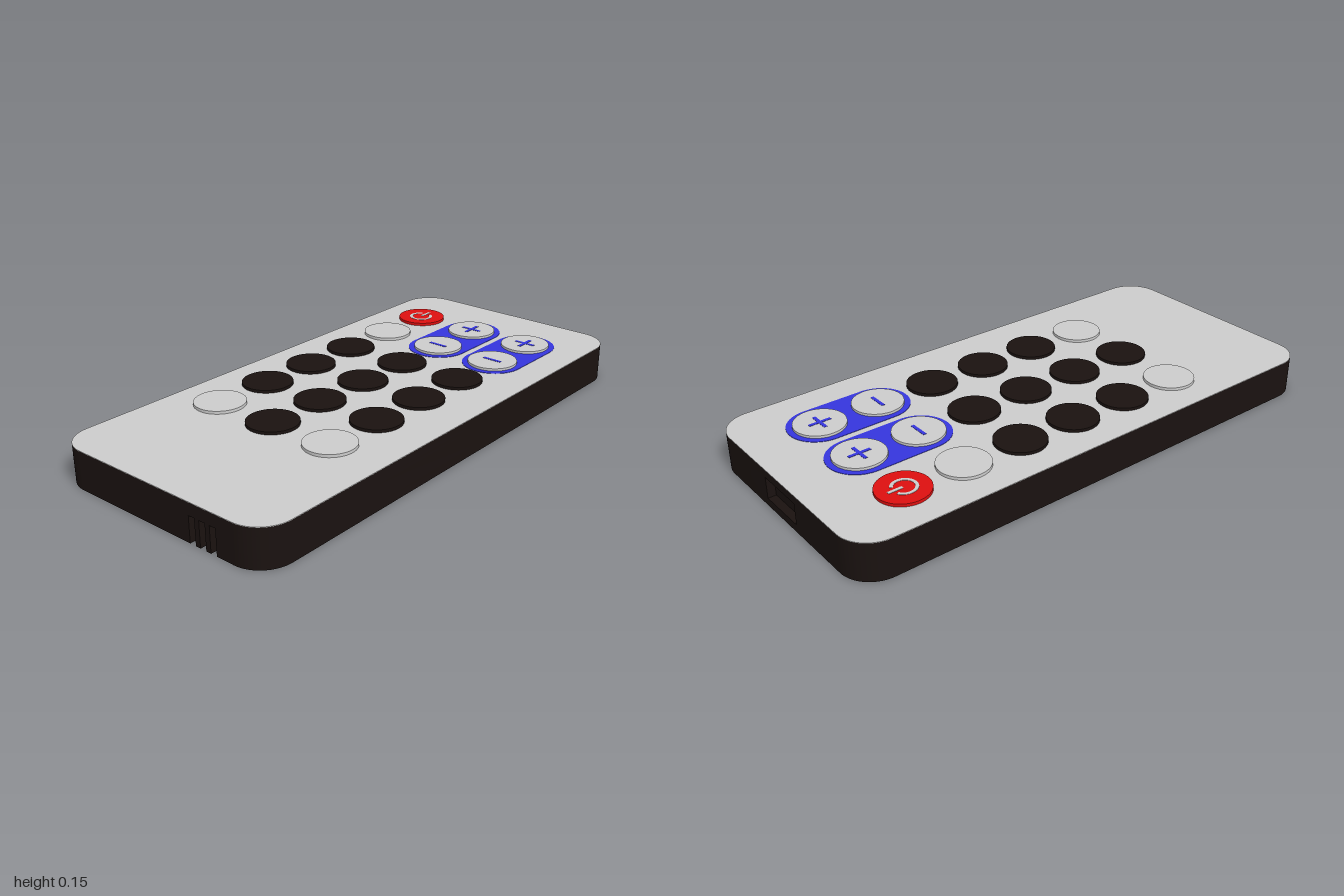
import * as THREE from 'three';
import { toCreasedNormals } from 'three/addons/utils/BufferGeometryUtils.js';

const W = 0.47, L = 1, R = 0.12; // half width, half length, corner radius
const TOP = 0.142, BUTTON_TOP = 0.153, BUTTON_R = 0.094;

const mat = (color) => new THREE.MeshStandardMaterial({ color });
const grey = mat(0xcccccc), black = mat(0x1a1210), red = mat(0xdd1010), blue = mat(0x3535dd);

// Rounded outline of the case; shape y is -z. Optional notches in the front and back ends.
function caseOutline(frontNotches = [], backNotches = []) {
  const s = new THREE.Shape();
  s.moveTo(-W + R, -L);
  for (const [a, b, d] of frontNotches) {
    s.lineTo(a, -L); s.lineTo(a, -L + d); s.lineTo(b, -L + d); s.lineTo(b, -L);
  }
  s.lineTo(W - R, -L);
  s.absarc(W - R, -L + R, R, -Math.PI / 2, 0);
  s.lineTo(W, L - R);
  s.absarc(W - R, L - R, R, 0, Math.PI / 2);
  for (const [a, b, d] of backNotches) {
    s.lineTo(b, L); s.lineTo(b, L - d); s.lineTo(a, L - d); s.lineTo(a, L);
  }
  s.lineTo(-W + R, L);
  s.absarc(-W + R, L - R, R, Math.PI / 2, Math.PI);
  s.lineTo(-W, -L + R);
  s.absarc(-W + R, -L + R, R, Math.PI, Math.PI * 1.5);
  return s;
}

// Rectangular hole, given in x and z
function rectHole(x0, x1, z0, z1) {
  return new THREE.Path([[x0, -z0], [x1, -z0], [x1, -z1], [x0, -z1]].map((p) => new THREE.Vector2(...p)));
}

// Extrudes a plan shape upward from y0 to y1
function slab(name, shape, y0, y1, material) {
  let g = new THREE.ExtrudeGeometry(shape, { depth: y1 - y0, bevelEnabled: false, curveSegments: 16 });
  g = toCreasedNormals(g.rotateX(-Math.PI / 2), 0.6);
  const m = new THREE.Mesh(g, material);
  m.position.y = y0;
  m.name = name;
  return m;
}

// Flat bar used for the button marks
function bar(name, w, d, x, z, material) {
  const m = new THREE.Mesh(new THREE.BoxGeometry(w, 0.002, d), material);
  m.position.set(x, BUTTON_TOP, z);
  m.name = name;
  return m;
}

function button(name, x, z, material) {
  const h = BUTTON_TOP - TOP + 0.004;
  const m = new THREE.Mesh(new THREE.CylinderGeometry(BUTTON_R, BUTTON_R, h, 48), material);
  m.position.set(x, BUTTON_TOP - h / 2, z);
  m.name = name;
  return m;
}

export function createModel() {
  const model = new THREE.Group();
  model.name = 'remoteControl';

  // Case in layers: grip grooves at the front, sensor recess at the back, sunken panel below
  const grooves = [0.165, 0.21, 0.255].map((x) => [x, x + 0.025, 0.03]);
  const sensor = [[-0.09, 0.1, 0.03]];
  const bottom = caseOutline(grooves);
  bottom.holes.push(rectHole(-0.15, 0.21, -0.84, -0.07), rectHole(-0.1, 0.16, 0.945, 0.951));
  const body = new THREE.Group();
  body.name = 'case';
  body.add(
    slab('caseBottom', bottom, 0, 0.006, black),
    slab('caseLower', caseOutline(grooves), 0.006, 0.03, black),
    slab('caseMiddle', caseOutline(grooves, sensor), 0.03, 0.095, black),
    slab('caseUpper', caseOutline([], sensor), 0.095, 0.11, black),
    slab('caseRim', caseOutline(), 0.11, 0.14, black),
    slab('facePlate', caseOutline(), 0.14, TOP, grey),
  );
  model.add(body);

  // Button grid
  const cols = [-0.281, -0.023, 0.235];
  const rows = [-0.72, -0.487, -0.253, -0.02, 0.215, 0.452];
  rows.forEach((z, r) => cols.forEach((x, c) => {
    const isBlack = (r >= 2 && r <= 4) || (r === 5 && c === 1);
    if (r === 0 && c === 0) model.add(button('powerButton', x, z, red));
    else if (isBlack) model.add(button('numberButton', x, z, black));
    else model.add(button(r < 2 && c > 0 ? 'rockerButton' : 'functionButton', x, z, grey));
  }));

  // Blue pads and plus/minus marks of the two rockers
  for (const x of cols.slice(1)) {
    const pad = new THREE.Shape();
    pad.absarc(x, -rows[0], 0.116, 0, Math.PI);
    pad.absarc(x, -rows[1], 0.116, Math.PI, Math.PI * 2);
    model.add(slab('rockerPad', pad, TOP, TOP + 0.0015, blue));
    model.add(bar('plusMark', 0.084, 0.013, x, rows[0], blue));
    for (const side of [-1, 1]) {
      model.add(bar('plusMark', 0.013, 0.0355, x, rows[0] + side * 0.02425, blue));
    }
    model.add(bar('minusMark', 0.076, 0.013, x, rows[1], blue));
  }

  // Power mark: open ring with a bar in the gap
  const ring = new THREE.Shape();
  const gap = 0.5, a0 = Math.PI / 2 + gap, a1 = Math.PI * 2.5 - gap;
  ring.absarc(0, 0, 0.047, a0, a1);
  ring.absarc(0, 0, 0.035, a1, a0, true);
  const powerRing = slab('powerRing', ring, BUTTON_TOP, BUTTON_TOP + 0.001, grey);
  powerRing.position.x = cols[0];
  powerRing.position.z = rows[0] + 0.004;
  model.add(powerRing, bar('powerBar', 0.012, 0.054, cols[0], rows[0] - 0.029, grey));

  return model;
}
